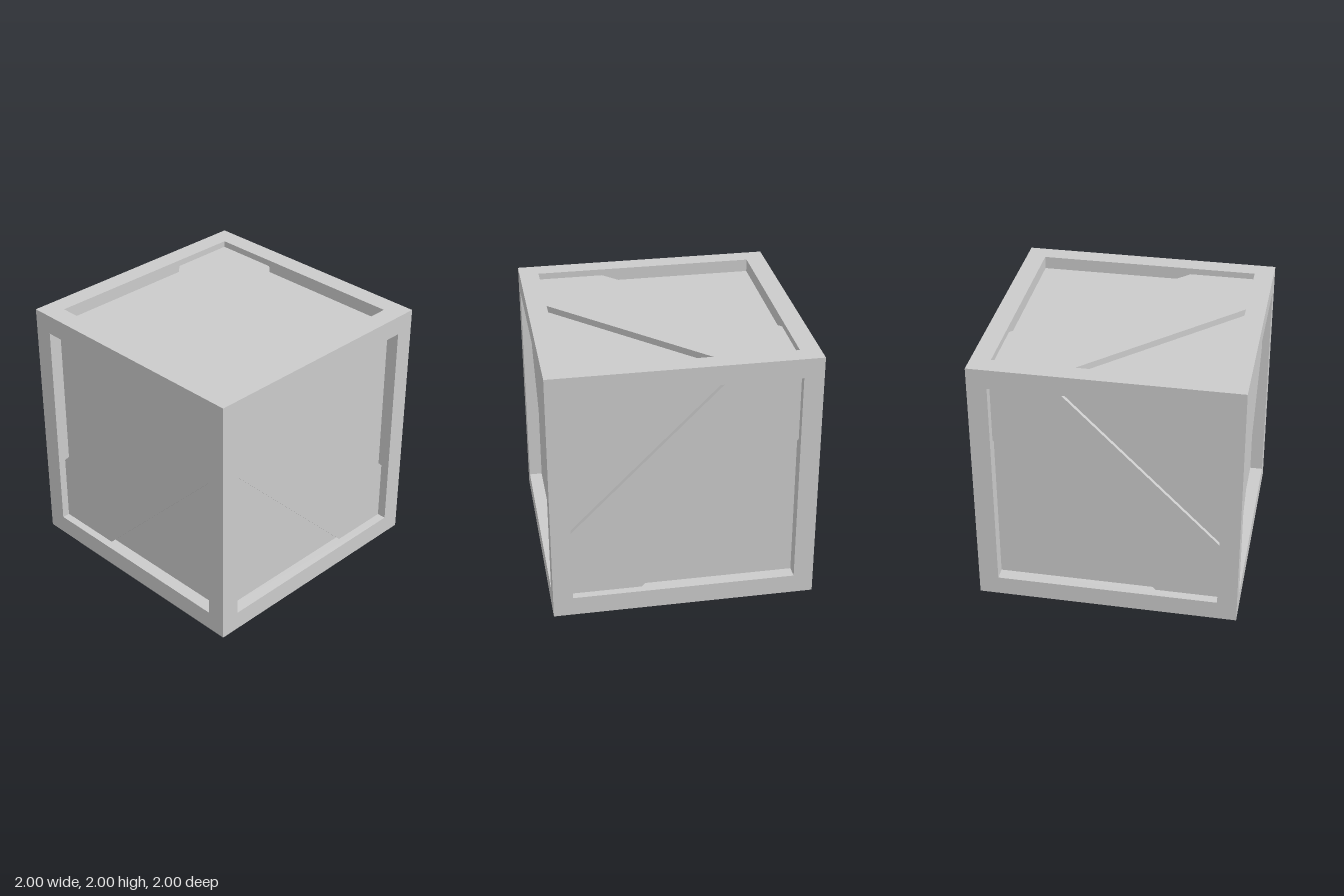
import * as THREE from 'three';

const OPENING = 0.85;   // half size of the recessed opening
const PANEL = 0.9;      // distance of the panels from the crate centre

const material = new THREE.MeshStandardMaterial({ color: 0xcccccc, flatShading: true });

function mesh(name, geometry) {
  const m = new THREE.Mesh(geometry, material);
  m.name = name;
  return m;
}

// Square frame of one face: mitred flat rim plus the inner walls of the recess (outward = +z)
function frameGeometry() {
  const profile = [[1, 1], [OPENING, 1], [OPENING, PANEL]]
    .map(([r, y]) => new THREE.Vector2(r * Math.SQRT2, y));
  const g = new THREE.LatheGeometry(profile, 4, Math.PI / 4).toNonIndexed();
  g.rotateX(Math.PI / 2);
  g.computeVertexNormals();
  return g;
}

// Diagonal plank running corner to corner, clipped to the opening
function braceGeometry(offset, recess) {
  const h = OPENING + 0.005, w = offset;
  const shape = new THREE.Shape([
    [-h, -h], [w - h, -h], [h, h - w], [h, h], [h - w, h], [-h, w - h],
  ].map(([x, y]) => new THREE.Vector2(x, y)));
  const g = new THREE.ExtrudeGeometry(shape, { depth: 1 - recess - PANEL, bevelEnabled: false });
  return g.translate(0, 0, PANEL);
}

export function createModel() {
  const crate = new THREE.Group();
  crate.name = 'crate';
  const body = new THREE.Group();
  body.name = 'body';
  body.position.y = 1;
  crate.add(body);

  // Inner box whose sides are the recessed panels
  body.add(mesh('panels', new THREE.BoxGeometry(2 * PANEL, 2 * PANEL, 2 * PANEL)));

  // name, rotation about x, rotation about y, brace falls to the right, brace half width, brace recess
  const q = Math.PI / 2;
  const faces = [
    ['front', 0, 0, true, 0.48, 0.07],
    ['back', 0, 2 * q, true, 0.48, 0.07],
    ['left', 0, q, false, 0.53, 0.06],
    ['right', 0, -q, false, 0.53, 0.06],
    ['top', -q, 0, false, 0.51, 0.05],
    ['bottom', q, 0, true, 0.51, 0.05],
  ];
  const frame = frameGeometry();
  for (const [name, rx, ry, falling, offset, recess] of faces) {
    const side = new THREE.Group();
    side.name = name + 'Side';
    side.rotation.set(rx, ry, 0);
    side.add(mesh(name + 'Frame', frame));
    const brace = mesh(name + 'Brace', braceGeometry(offset, recess));
    if (falling) brace.rotation.z = q;
    side.add(brace);
    body.add(side);
  }
  return crate;
}
